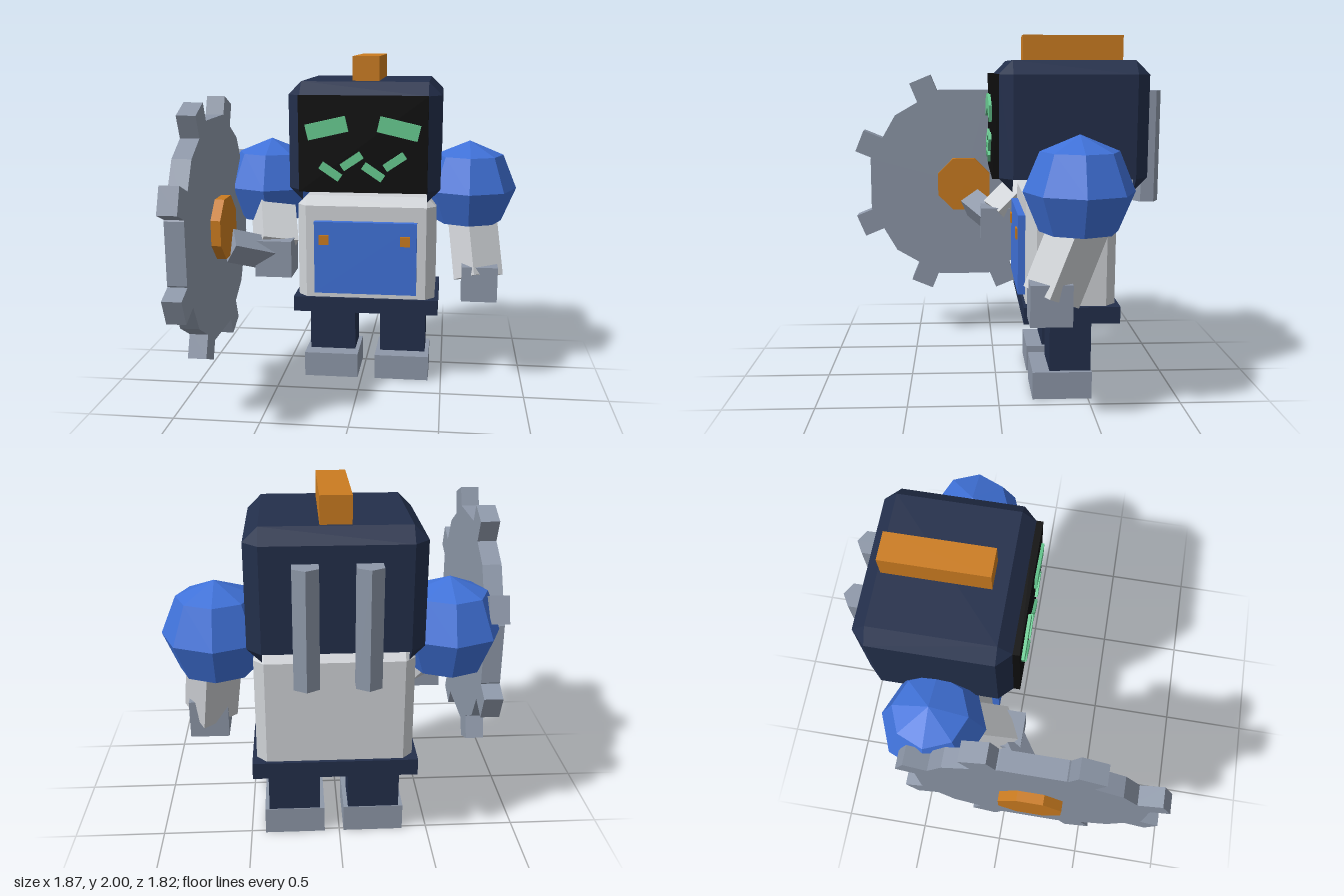
import * as THREE from 'three';
import { ConvexGeometry } from 'three/addons/geometries/ConvexGeometry.js';

const mat = (name, color) => {
  const m = new THREE.MeshStandardMaterial({ color, flatShading: true });
  m.name = name;
  return m;
};

export function createModel() {
  const navy = mat('navy', 0x232f4b);
  const blue = mat('blue', 0x4072d9);
  const steel = mat('steel', 0x8e98a9);
  const pale = mat('pale grey', 0xd0d3d7);
  const orange = mat('orange', 0xcb7c20);
  const black = mat('black', 0x0e0e0e);
  const green = mat('green', 0x68cc92);
  const model = new THREE.Group();
  model.name = 'robot';

  const add = (name, geometry, material, x = 0, y = 0, z = 0) => {
    const mesh = new THREE.Mesh(geometry, material);
    mesh.name = name;
    mesh.position.set(x, y, z);
    model.add(mesh);
    return mesh;
  };

  // Box given by its limits on each axis
  const box = (name, material, x0, x1, y0, y1, z0, z1) => add(name,
    new THREE.BoxGeometry(x1 - x0, y1 - y0, z1 - z0), material,
    (x0 + x1) / 2, (y0 + y1) / 2, (z0 + z1) / 2);

  // Square bar running from a to b
  const bar = (name, material, a, b, w, d) => {
    const from = new THREE.Vector3(...a), to = new THREE.Vector3(...b);
    const mid = from.clone().add(to).multiplyScalar(0.5);
    const mesh = add(name, new THREE.BoxGeometry(w, from.distanceTo(to), d), material, mid.x, mid.y, mid.z);
    mesh.quaternion.setFromUnitVectors(new THREE.Vector3(0, 1, 0), to.sub(from).normalize());
    return mesh;
  };

  // Chamfered block, undercut along its lower edges with a point left at each corner
  const chamferBlock = (name, material, w, d, y0, y1, c, x, z) => {
    const V = (a, b, e) => new THREE.Vector3(a, b, e);
    const points = [];
    for (const sx of [-1, 1]) for (const sz of [-1, 1]) {
      const ox = sx * w / 2, oz = sz * d / 2, ix = ox - sx * c, iz = oz - sz * c;
      points.push(V(ix, y1, iz));
      for (const y of [y1 - c, y0 + c]) points.push(V(ox, y, iz), V(ix, y, oz));
      add(name + 'CornerPoint', new ConvexGeometry([
        V(ox, y0 + c, iz), V(ix, y0 + c, oz), V(ix, y0 + c, iz), V(ix, y0, iz),
      ]), material, x, 0, z);
    }
    add(name, new ConvexGeometry(points), material, x, 0, z);
  };

  // Head with crest and face screen
  chamferBlock('head', navy, 0.885, 0.8, 1.165, 1.86, 0.075, 0.03, -0.4);
  box('crest', orange, -0.048, 0.108, 1.85, 2, -0.71, -0.15);
  box('faceScreen', black, -0.34, 0.4, 1.235, 1.787, -0.01, 0.033);

  // Slanted eyes and zigzag mouth
  const glow = (name, x, y, w, h, degrees) => {
    add(name, new THREE.BoxGeometry(w, h, 0.018), green, x, y, 0.04)
      .rotation.z = THREE.MathUtils.degToRad(degrees);
  };
  for (const s of [-1, 1]) glow('eye', 0.03 + s * 0.206, 1.605, 0.236, 0.09, -s * 13);
  for (let i = 0; i < 4; i++) {
    glow('mouthBar', -0.155 + i * 0.123, i % 2 ? 1.418 : 1.357, 0.135, 0.046, i % 2 ? 34 : -34);
  }

  // Torso, chest panel and belt
  chamferBlock('torso', pale, 0.84, 0.49, 0.445, 1.17, 0.055, 0.03, -0.395);
  box('chestPanel', blue, -0.28, 0.34, 0.58, 1.025, -0.16, -0.11);
  for (const x of [-0.22, 0.27]) box('chestButton', orange, x - 0.03, x + 0.03, 0.885, 0.945, -0.12, -0.1);
  box('belt', navy, -0.415, 0.473, 0.45, 0.543, -0.66, -0.135);

  for (const s of [-1, 1]) {
    // Legs and feet
    const legX = 0.03 + s * 0.222;
    box('leg', navy, legX - 0.143, legX + 0.143, 0.15, 0.432, -0.515, -0.285);
    box('foot', steel, legX - 0.168, legX + 0.168, 0, 0.155, -0.52, -0.19);

    // Hexagonal pipes on the back of the head
    add('backPipe', new THREE.CylinderGeometry(0.074, 0.074, 0.615, 6), steel,
      0.028 + s * 0.152, 1.39, -0.836);

    // Faceted shoulders, cut flat underneath
    const shoulderX = 0.03 + s * 0.614;
    add('shoulder', new THREE.SphereGeometry(0.289, 8, 3, 0, Math.PI * 2, 0, Math.PI * 0.75),
      blue, shoulderX, 1.203, -0.4);
    const cap = add('shoulderBase', new THREE.CircleGeometry(0.204, 8), blue, shoulderX, 0.999, -0.4);
    cap.rotation.x = Math.PI / 2;
  }

  // Lowered left arm
  bar('leftArm', pale, [0.66, 1.1, -0.43], [0.715, 0.67, -0.255], 0.215, 0.215);
  box('leftHand', steel, 0.612, 0.827, 0.545, 0.76, -0.355, -0.14);

  // Raised right arm holding the gear by its handle
  bar('rightArm', pale, [-0.58, 1.15, -0.35], [-0.5, 0.87, -0.05], 0.215, 0.215);
  box('rightHand', steel, -0.602, -0.385, 0.727, 0.943, -0.14, 0.075);
  bar('gearHandle', steel, [-0.49, 0.835, -0.03], [-0.735, 0.925, 0.125], 0.14, 0.14);

  // Gear: twelve-sided disc, eight teeth and an octagonal hub
  const gear = new THREE.Group();
  gear.name = 'gear';
  gear.position.set(-0.832, 1.05, 0.182);
  gear.rotation.z = Math.PI / 2;
  const gearPart = (name, geometry, material) => {
    const mesh = new THREE.Mesh(geometry, material);
    mesh.name = name;
    gear.add(mesh);
    return mesh;
  };
  gearPart('gearDisc', new THREE.CylinderGeometry(0.645, 0.645, 0.105, 12), steel)
    .rotation.y = Math.PI / 12;
  gearPart('gearHub', new THREE.CylinderGeometry(0.186, 0.186, 0.215, 8), orange)
    .rotation.y = Math.PI / 8;
  for (let i = 0; i < 8; i++) {
    const a = (i + 0.5) * Math.PI / 4;
    const tooth = gearPart('gearTooth', new THREE.BoxGeometry(0.15, 0.105, 0.17), steel);
    tooth.position.set(Math.sin(a) * 0.667, 0, Math.cos(a) * 0.667);
    tooth.rotation.y = a;
  }
  model.add(gear);

  return model;
}
